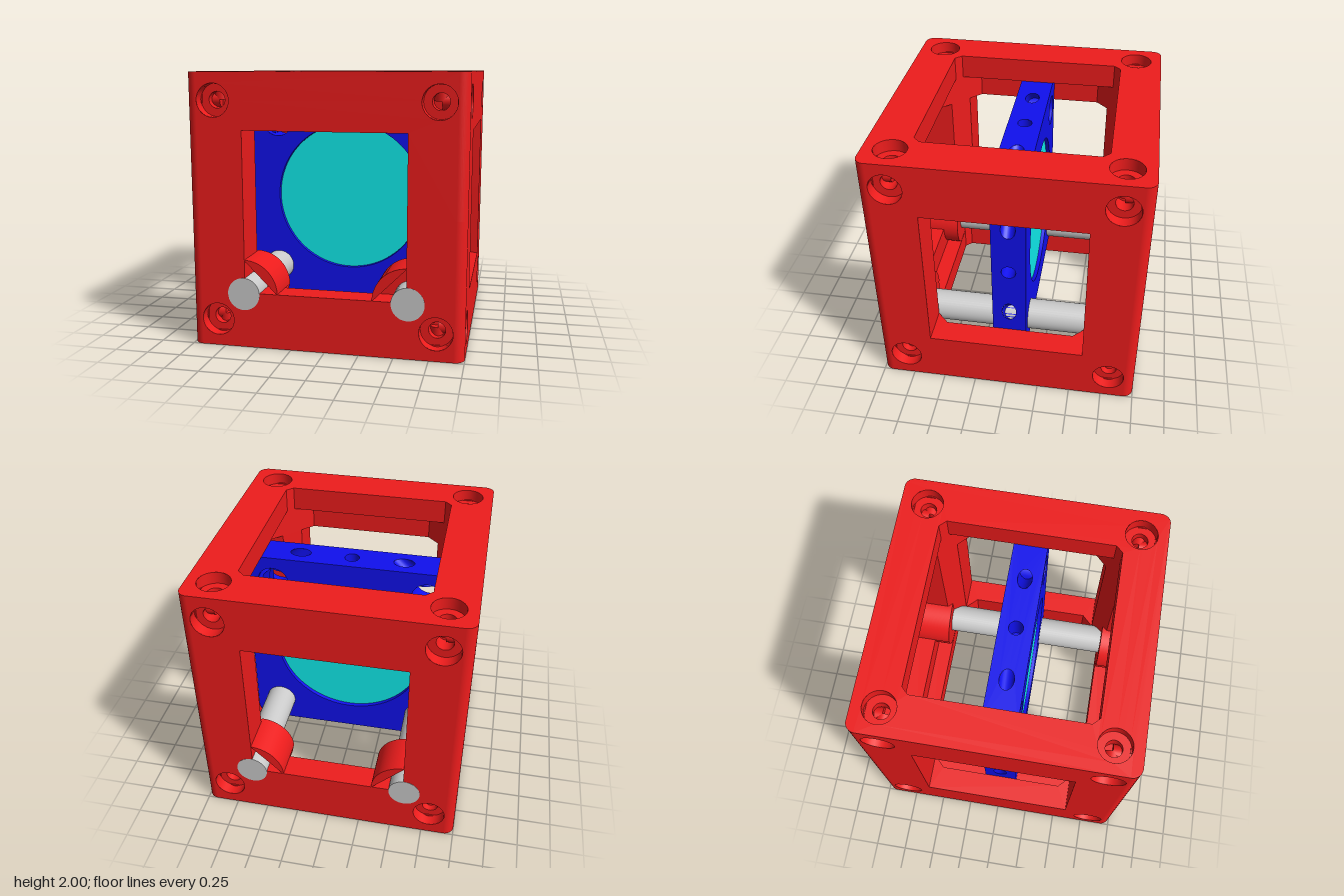
import * as THREE from 'three';

const mat = (color) => new THREE.MeshStandardMaterial({ color, side: THREE.DoubleSide });
const RED = mat(0xee1c1c), BLUE = mat(0x1010ee), CYAN = mat(0x10eeee), GREY = mat(0xcccccc);

function add(parent, name, geometry, material) {
  const mesh = new THREE.Mesh(geometry, material);
  mesh.name = name;
  parent.add(mesh);
  return mesh;
}

const polygon = (pts) => new THREE.Shape(pts.map(([x, y]) => new THREE.Vector2(x, y)));

function hole(shape, x, y, rx, ry = rx) {
  shape.holes.push(new THREE.Path().absellipse(x, y, rx, ry, 0, Math.PI * 2, true));
}

// Square with rounded corners
function roundedSquare(h, r) {
  const s = new THREE.Shape(), c = h - r;
  s.absarc(c, c, r, 0, Math.PI / 2);
  s.absarc(-c, c, r, Math.PI / 2, Math.PI);
  s.absarc(-c, -c, r, Math.PI, Math.PI * 1.5);
  s.absarc(c, -c, r, Math.PI * 1.5, Math.PI * 2);
  return s;
}

// Square with corners cut at 45 degrees; a is the half width, b where the cut starts
const cutSquare = (a, b) => [[a, b], [b, a], [-b, a], [-a, b], [-a, -b], [-b, -a], [b, -a], [a, -b]];

// Vertical wall following [x, z] points between two heights
function strip(points, y0, y1) {
  const plane = new THREE.PlaneGeometry(1, 1, points.length - 1, 1);
  const p = plane.attributes.position;
  for (let i = 0; i < p.count; i++) {
    const [x, z] = points[i % points.length];
    p.setXYZ(i, x, i < points.length ? y1 : y0, z);
  }
  const g = plane.toNonIndexed();
  g.computeVertexNormals();
  return g;
}

// Counterbored screw hole sunk from z = 1
function screwHole(x, y) {
  const profile = [[0.12, 0], [0.12, -0.09], [0.12, -0.09], [0.06, -0.09], [0.06, -0.09], [0.06, -0.2], [0.06, -0.2], [0, -0.2]];
  return new THREE.LatheGeometry(profile.map(([r, h]) => new THREE.Vector2(r, h)), 32)
    .rotateX(Math.PI / 2).translate(x, y, 1);
}

// One quarter of the upper half of the frame, facing +z
function frameQuarter() {
  const g = new THREE.Group();
  g.name = 'frameSide';
  const face = polygon([[-0.925, 0], [-0.59, 0], [-0.59, 0.59], [0.59, 0.59], [0.59, 0], [0.925, 0], [0.925, 1], [-0.925, 1]]);
  for (const s of [-1, 1]) {
    hole(face, s * 0.8, 0.8, 0.12);
    add(g, 'screwHole', screwHole(s * 0.8, 0.8), RED);
  }
  add(g, 'outerFace', new THREE.ShapeGeometry(face, 32).translate(0, 0, 1), RED);
  add(g, 'roundedEdge', new THREE.CylinderGeometry(0.075, 0.075, 1, 10, 1, true, 0, Math.PI / 2)
    .translate(0.925, 0.5, 0.925), RED);
  // Post, inner wall and top opening
  add(g, 'postInside', strip([[0.72, 0.59], [0.59, 0.72], [0.59, 1]], 0, 0.59), RED);
  add(g, 'windowSide', strip([[-0.59, 1], [-0.59, 0.72]], 0, 0.59), RED);
  add(g, 'innerWall', strip([[0.81, 0.5], [0.5, 0.81], [-0.5, 0.81]], 0.59, 0.81), RED);
  add(g, 'openingWall', strip([[0.68, 0.63], [0.63, 0.68], [-0.63, 0.68]], 0.81, 1), RED);
  const lintel = polygon([[-0.59, 1], [-0.59, 0.72], [-0.5, 0.81], [0.5, 0.81], [0.59, 0.72], [0.59, 1]]);
  add(g, 'lintelUnderside', new THREE.ShapeGeometry(lintel).rotateX(Math.PI / 2).translate(0, 0.59, 0), RED);
  return g;
}

// Upper half of the frame; the lower half is the same turned over
function frameHalf() {
  const g = new THREE.Group();
  g.name = 'frameHalf';
  for (let i = 0; i < 4; i++) {
    const q = frameQuarter();
    q.rotation.y = i * Math.PI / 2;
    g.add(q);
  }
  const opening = polygon(cutSquare(0.68, 0.63));
  const top = roundedSquare(1, 0.075);
  top.holes.push(opening);
  const under = polygon(cutSquare(0.81, 0.5));
  under.holes.push(opening);
  for (const x of [-0.8, 0.8]) for (const z of [-0.8, 0.8]) {
    hole(top, x, z, 0.12);
    add(g, 'screwHole', screwHole(x, z).rotateX(-Math.PI / 2), RED);
  }
  add(g, 'topFace', new THREE.ShapeGeometry(top, 24).rotateX(-Math.PI / 2).translate(0, 1, 0), RED);
  add(g, 'topUnderside', new THREE.ShapeGeometry(under).rotateX(Math.PI / 2).translate(0, 0.81, 0), RED);
  return g;
}

// Lens plate with bore, rod holes and drilled edges
function lensPlate() {
  const g = new THREE.Group();
  g.name = 'lensPlate';
  const H = 0.81, R = 0.1, T = 0.13;
  const face = roundedSquare(H, R);
  hole(face, 0, 0, 0.59);
  for (const x of [-0.6, 0.6]) for (const y of [-0.6, 0.6]) {
    hole(face, x, y, 0.12);
    add(g, 'rodHole', new THREE.CylinderGeometry(0.12, 0.12, 2 * T, 32, 1, true)
      .rotateX(Math.PI / 2).translate(x, y, 0), BLUE);
  }
  for (const turn of [0, Math.PI])
    add(g, 'plateFace', new THREE.ShapeGeometry(face, 40).translate(0, 0, T).rotateY(turn), BLUE);
  add(g, 'bore', new THREE.CylinderGeometry(0.59, 0.59, 2 * T, 80, 1, true).rotateX(Math.PI / 2), BLUE);

  for (let i = 0; i < 4; i++) {
    const side = new THREE.Group();
    side.name = 'plateEdge';
    side.rotation.z = i * Math.PI / 2;
    const c = H - R;
    const edge = polygon([[-c, -T], [c, -T], [c, T], [-c, T]]);
    hole(edge, 0, 0, 0.055);
    for (const s of [-1, 1]) {
      // Set screw holes slant towards the rods
      hole(edge, s * 0.4, 0, 0.08, 0.055);
      const tube = new THREE.CylinderGeometry(0.055, 0.055, 0.16, 24, 1, true)
        .scale(0.08 / 0.055, 1, 1).translate(0, -0.08, 0);
      tube.applyMatrix4(new THREE.Matrix4().set(1, -s, 0, s * 0.4, 0, 1, 0, H, 0, 0, 1, 0, 0, 0, 0, 1));
      add(side, 'setScrewHole', tube, BLUE);
    }
    add(side, 'edgeFace', new THREE.ShapeGeometry(edge, 24).rotateX(-Math.PI / 2).translate(0, H, 0), BLUE);
    add(side, 'edgeHole', new THREE.CylinderGeometry(0.055, 0.055, 0.22, 24, 1, true).translate(0, 0.7, 0), BLUE);
    add(side, 'plateCorner', new THREE.CylinderGeometry(R, R, 2 * T, 10, 1, true, 0, Math.PI / 2)
      .rotateX(-Math.PI / 2).translate(c, c, 0), BLUE);
    g.add(side);
  }
  add(g, 'lens', new THREE.CylinderGeometry(0.588, 0.588, 0.2, 80).rotateX(Math.PI / 2), CYAN);
  return g;
}

export function createModel() {
  const model = new THREE.Group();
  const body = new THREE.Group();
  body.name = 'lensCube';
  body.position.y = 1;
  model.add(body);

  const upper = frameHalf(), lower = frameHalf();
  lower.rotation.z = Math.PI;
  body.add(upper, lower, lensPlate());

  for (const s of [-1, 1]) {
    add(body, 'rod', new THREE.CylinderGeometry(0.12, 0.12, 2.004, 40)
      .rotateX(Math.PI / 2).translate(s * 0.6, -0.6, 0), GREY);
    // Rod bosses reaching into the front and back windows
    const a = s > 0 ? Math.PI / 2 : 0;
    const quarter = new THREE.Shape().moveTo(0, 0);
    quarter.absarc(0, 0, 0.25, a, a + Math.PI / 2);
    for (const z of [-1, 0.68]) {
      add(body, 'rodBoss', new THREE.ExtrudeGeometry(quarter, { depth: 0.32, bevelEnabled: false, curveSegments: 20 })
        .translate(s * 0.595, -0.595, z), RED);
      add(body, 'rodBossInner', new THREE.CylinderGeometry(0.249, 0.249, 0.13, 48)
        .rotateX(Math.PI / 2).translate(s * 0.6, -0.6, Math.sign(z) * 0.747), RED);
    }
  }
  return model;
}
